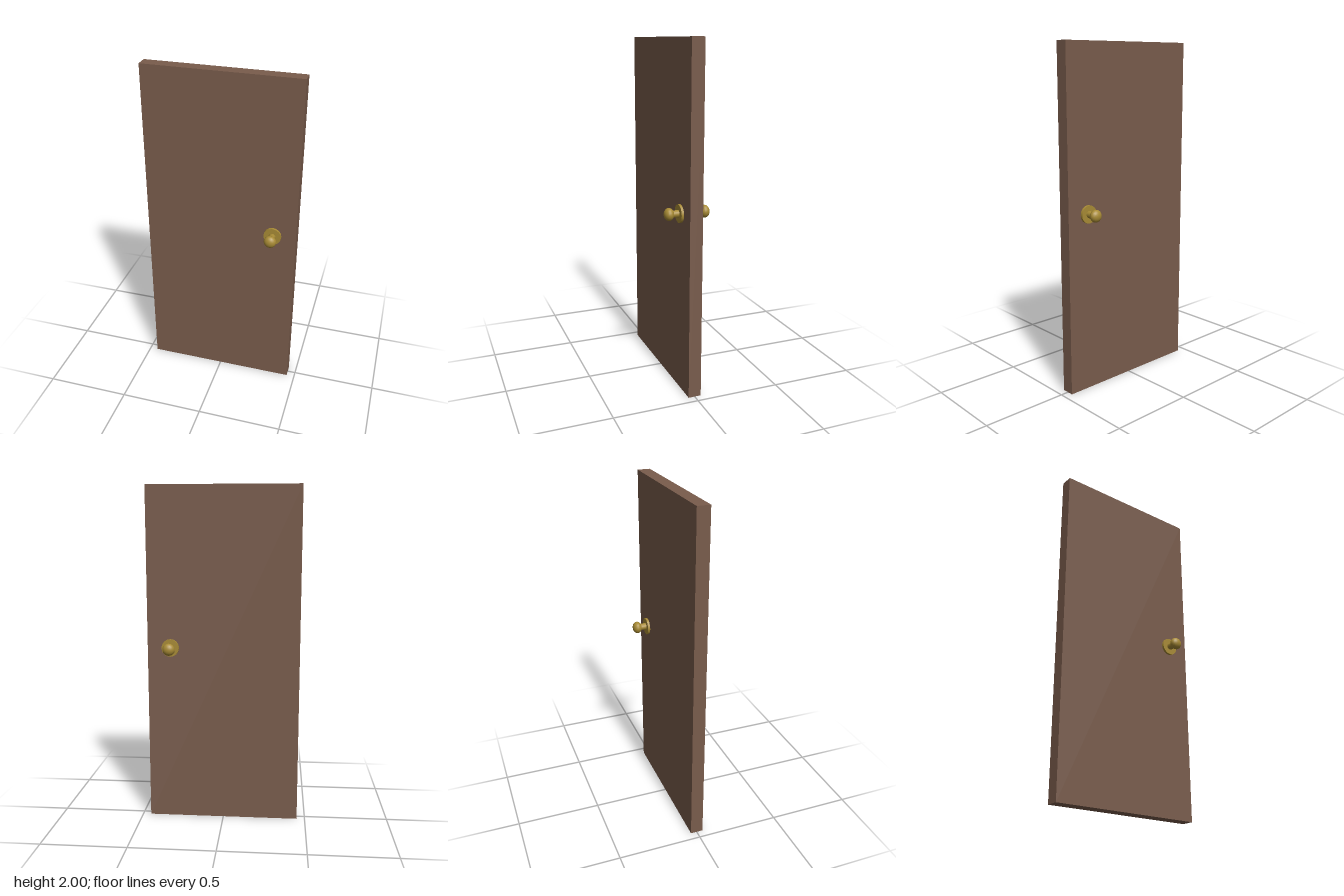
import * as THREE from 'three';

export function createModel() {
  const model = new THREE.Group();
  const wood = new THREE.MeshStandardMaterial({ color: 0x795c4c });
  const brass = new THREE.MeshStandardMaterial({ color: 0xa88b35 });

  const add = (parent, name, geometry, material) => {
    const mesh = new THREE.Mesh(geometry, material);
    mesh.name = name;
    parent.add(mesh);
    return mesh;
  };

  // Plain door slab
  const halfDepth = 0.0375;
  add(model, 'doorPanel', new THREE.BoxGeometry(0.903, 2, halfDepth * 2), wood).position.y = 1;

  // Round bar along z between two depths
  const bar = (radius, z0, z1, sides) =>
    new THREE.CylinderGeometry(radius, radius, z1 - z0, sides)
      .rotateX(Math.PI / 2)
      .translate(0, 0, (z0 + z1) / 2);

  // Knob set: wall plate, stem and flattened ball
  const knobSet = (name) => {
    const group = new THREE.Group();
    group.name = name;
    add(group, 'plate', bar(0.052, halfDepth - 0.002, 0.0515, 16), brass);
    add(group, 'stem', bar(0.021, 0.05, 0.095, 12), brass);
    const ball = new THREE.SphereGeometry(0.0365, 16, 12)
      .rotateX(Math.PI / 2)
      .scale(1, 1, 0.767)
      .translate(0, 0, 0.1065);
    add(group, 'knob', ball, brass);
    group.position.set(0.315, 1.055, 0);
    model.add(group);
    return group;
  };

  // One set on each face
  knobSet('frontKnob');
  knobSet('backKnob').rotation.y = Math.PI;

  return model;
}
